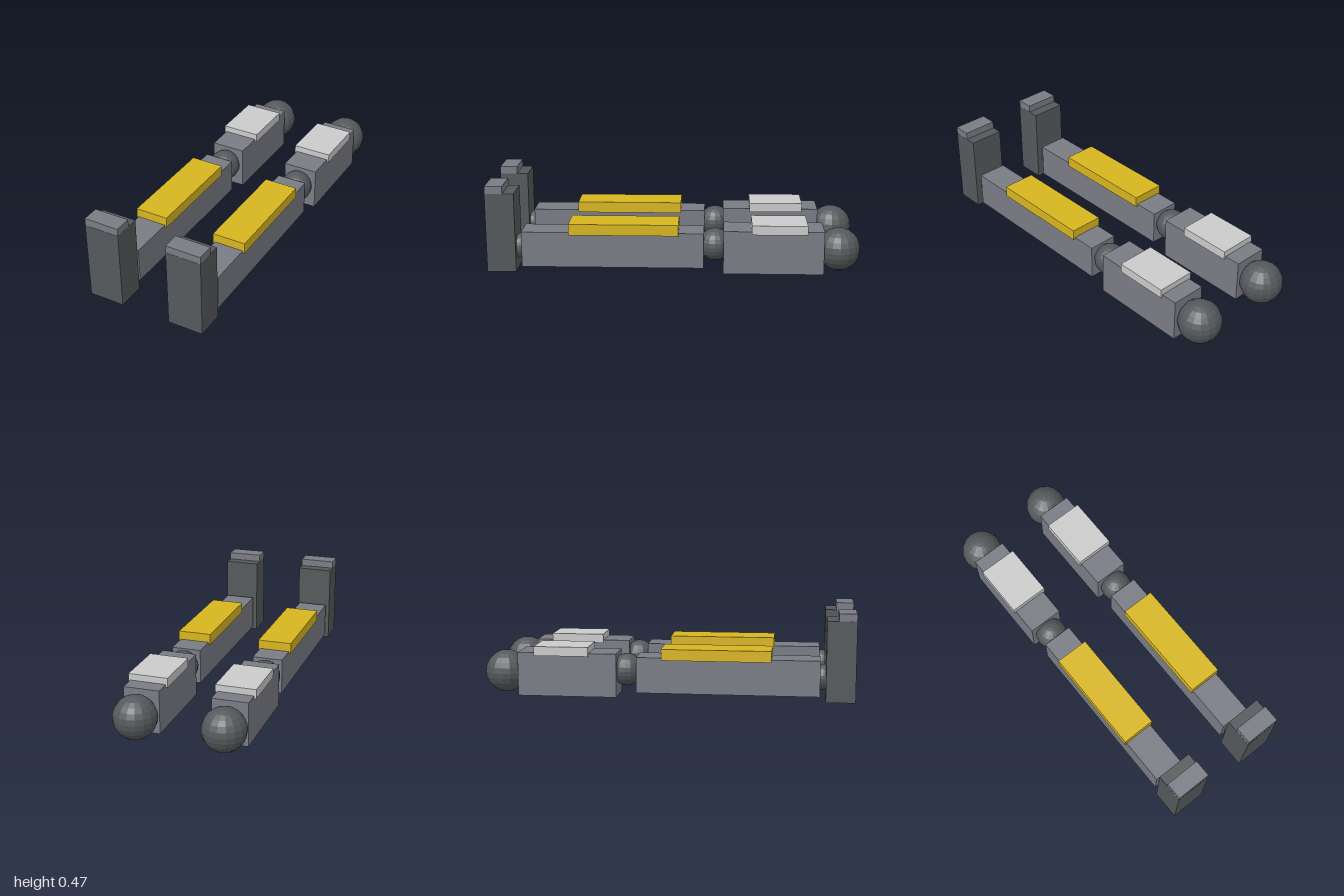
import * as THREE from 'three';

const material = (color) => new THREE.MeshStandardMaterial({ color, flatShading: true });

export function createModel() {
  const model = new THREE.Group();
  const armour = material(0x7a7c85);
  const dark = material(0x55595b);
  const gold = material(0xd8b620);
  const pale = material(0xcccecb);

  // Box given by its width and its y and z ranges, centred on the leg
  function box(leg, name, mat, width, [y0, y1], [z0, z1]) {
    const mesh = new THREE.Mesh(new THREE.BoxGeometry(width, y1 - y0, z1 - z0), mat);
    mesh.position.set(0, (y0 + y1) / 2, (z0 + z1) / 2);
    mesh.name = name;
    leg.add(mesh);
  }

  function ball(leg, name, radius, y, z) {
    const mesh = new THREE.Mesh(new THREE.SphereGeometry(radius, 16, 12), dark);
    mesh.position.set(0, y, z);
    mesh.name = name;
    leg.add(mesh);
  }

  // Two matching legs, stretched out along z with the toes up
  for (const [name, side] of [['leftLeg', 1], ['rightLeg', -1]]) {
    const leg = new THREE.Group();
    leg.name = name;
    leg.position.x = side * 0.234;

    // Upper leg
    ball(leg, 'hipJoint', 0.115, 0.118, -0.885);
    box(leg, 'thigh', armour, 0.192, [0, 0.235], [-0.8, -0.265]);
    box(leg, 'thighPlate', pale, 0.214, [0.22, 0.27], [-0.71, -0.415]);

    // Lower leg
    ball(leg, 'kneeJoint', 0.087, 0.138, -0.22);
    box(leg, 'shin', armour, 0.164, [0.025, 0.217], [-0.16, 0.815]);
    box(leg, 'shinPlate', gold, 0.185, [0.205, 0.265], [-0.025, 0.56]);

    // Foot, with the toe cap sunk into its upper end
    ball(leg, 'ankleJoint', 0.068, 0.119, 0.83);
    box(leg, 'foot', dark, 0.194, [0, 0.43], [0.845, 1]);
    box(leg, 'toeCap', armour, 0.193, [0.37, 0.47], [0.905, 0.999]);

    model.add(leg);
  }
  return model;
}
